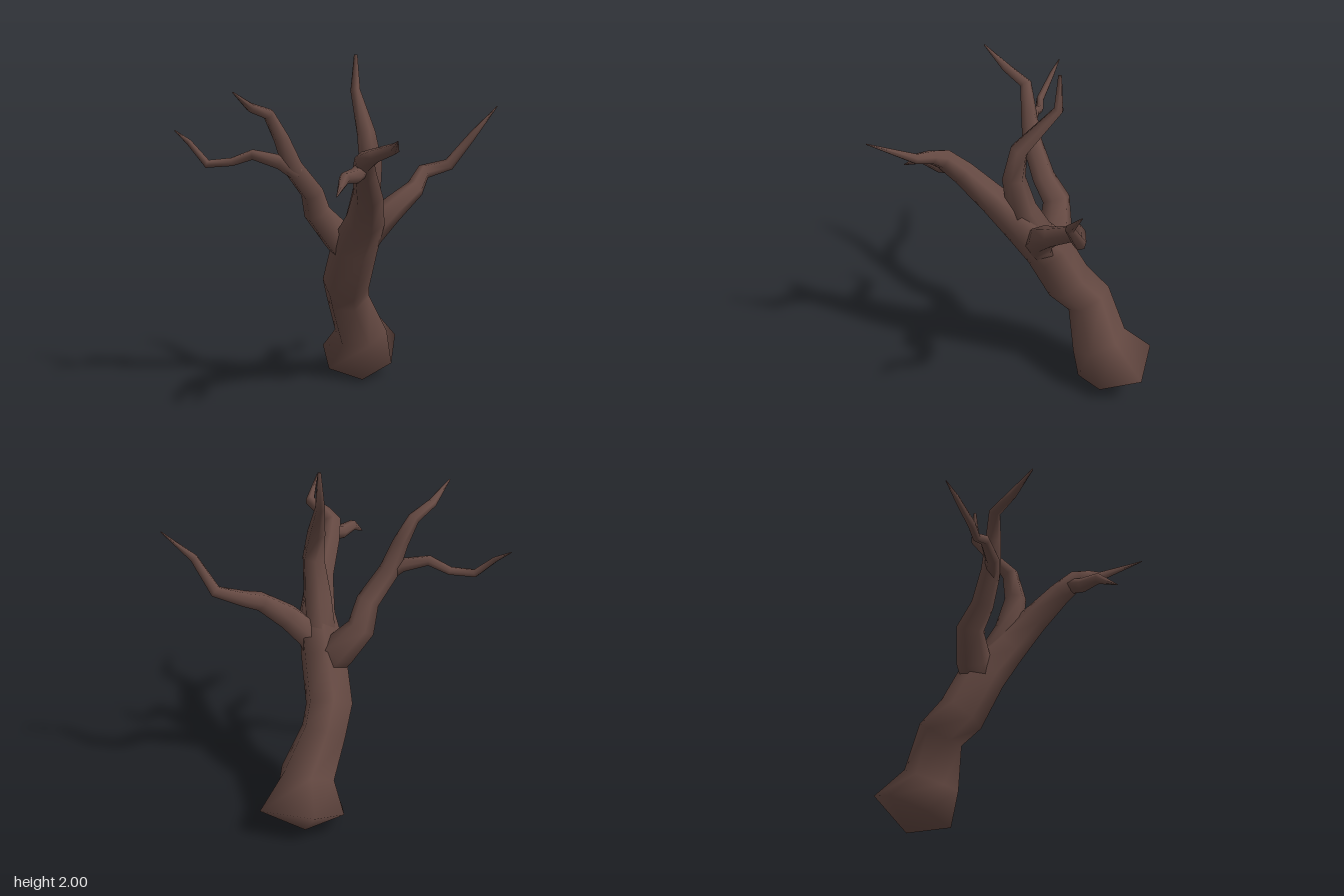
import * as THREE from 'three';

const SIDES = 6;
const V = (p) => new THREE.Vector3(p[0], p[1], p[2]);

// Six-sided rings square to a path of [x, y, z, radius]
function ringsAlong(path) {
  const pts = path.map(V);
  const u = new THREE.Vector3(1, 0, 0);
  return pts.map((p, i) => {
    const t = new THREE.Vector3();
    if (i > 0) t.add(p.clone().sub(pts[i - 1]).normalize());
    if (i < pts.length - 1) t.add(pts[i + 1].clone().sub(p).normalize());
    t.normalize();
    u.addScaledVector(t, -u.dot(t)).normalize();
    const v = t.clone().cross(u);
    return Array.from({ length: SIDES }, (_, k) => {
      const a = (k / SIDES) * Math.PI * 2;
      return p.clone()
        .addScaledVector(u, Math.cos(a) * path[i][3])
        .addScaledVector(v, Math.sin(a) * path[i][3]);
    });
  });
}

// Smooth skin over the rings, closed at both ends
function skin(rings, start, end) {
  const verts = [...rings.flat(), start, end];
  const index = [];
  const s = verts.length - 2, e = s + 1, last = (rings.length - 1) * SIDES;
  for (let k = 0; k < SIDES; k++) {
    const n = (k + 1) % SIDES;
    for (let i = 0; i < last; i += SIDES) {
      const a = i + k, b = i + n, c = b + SIDES, d = a + SIDES;
      index.push(a, b, c, a, c, d);
    }
    index.push(s, n, k, e, last + k, last + n);
  }
  const g = new THREE.BufferGeometry().setFromPoints(verts);
  g.setIndex(index);
  g.computeVertexNormals();
  return g;
}

export function createModel() {
  const tree = new THREE.Group();
  tree.name = 'bareTree';
  const bark = new THREE.MeshStandardMaterial({ color: 0x664a43 });
  bark.name = 'brown bark';

  function limb(name, path, base, baseCentre) {
    const rings = ringsAlong(path);
    if (base) rings[0] = base.map(V);
    const mesh = new THREE.Mesh(
      skin(rings, V(baseCentre || path[0]), V(path[path.length - 1])), bark);
    mesh.name = name;
    tree.add(mesh);
  }

  // Flared, tilted foot of the trunk
  const foot = [
    [0.26, 0.08, -0.5], [0.23, 0.19, -0.74], [-0.09, 0.2, -0.7],
    [-0.19, 0.15, -0.53], [-0.1, 0.06, -0.35], [0.12, 0.02, -0.32],
  ];

  // Leaning trunk running on into the front branch and its outer fork
  limb('trunkAndFrontBranch', [
    [0.05, 0.1, -0.55, 0.2], [0.08, 0.3, -0.43, 0.165], [0.02, 0.54, -0.34, 0.135],
    [0.04, 0.65, -0.22, 0.14], [0.12, 0.91, -0.12, 0.135], [0.21, 1.09, -0.01, 0.11],
    [0.26, 1.26, 0.14, 0.085], [0.28, 1.41, 0.31, 0.068], [0.305, 1.49, 0.41, 0.058],
    [0.37, 1.53, 0.45, 0.04], [0.48, 1.575, 0.485, 0.03], [0.55, 1.65, 0.735, 0.003],
  ], foot, [0.04, 0, -0.56]);

  limb('frontInnerTwig', [
    [0.29, 1.45, 0.34, 0.045], [0.265, 1.42, 0.46, 0.042],
    [0.24, 1.425, 0.57, 0.032], [0.23, 1.35, 0.69, 0.003],
  ]);

  limb('topBranch', [
    [0.13, 0.92, -0.12, 0.1], [0.21, 1.2, 0, 0.085], [0.245, 1.42, 0.03, 0.065],
    [0.215, 1.58, 0.01, 0.052], [0.105, 1.8, -0.17, 0.028], [0.105, 2, -0.175, 0.01],
  ]);

  limb('leftBranch', [
    [0.13, 0.88, -0.12, 0.09], [0.21, 1, -0.1, 0.09], [0.32, 1.12, -0.16, 0.075],
    [0.44, 1.235, -0.26, 0.055], [0.46, 1.31, -0.41, 0.045], [0.6, 1.35, -0.465, 0.035],
    [0.73, 1.52, -0.455, 0.024], [0.86, 1.69, -0.56, 0.003],
  ]);

  limb('rightBranch', [
    [0.1, 0.84, -0.14, 0.09], [0.02, 0.95, -0.13, 0.1], [-0.1, 1.1, -0.09, 0.08],
    [-0.105, 1.23, -0.01, 0.066], [-0.19, 1.39, 0.09, 0.058], [-0.24, 1.55, 0.13, 0.045],
    [-0.3, 1.69, 0.17, 0.034], [-0.355, 1.74, 0.31, 0.026], [-0.4, 1.835, 0.46, 0.004],
  ]);

  limb('rightOuterTwig', [
    [-0.16, 1.35, 0.08, 0.045], [-0.25, 1.42, 0.13, 0.042], [-0.4, 1.46, 0.16, 0.03],
    [-0.52, 1.415, 0.17, 0.024], [-0.65, 1.405, 0.215, 0.024],
    [-0.77, 1.52, 0.185, 0.016], [-0.86, 1.58, 0.17, 0.003],
  ]);

  return tree;
}
